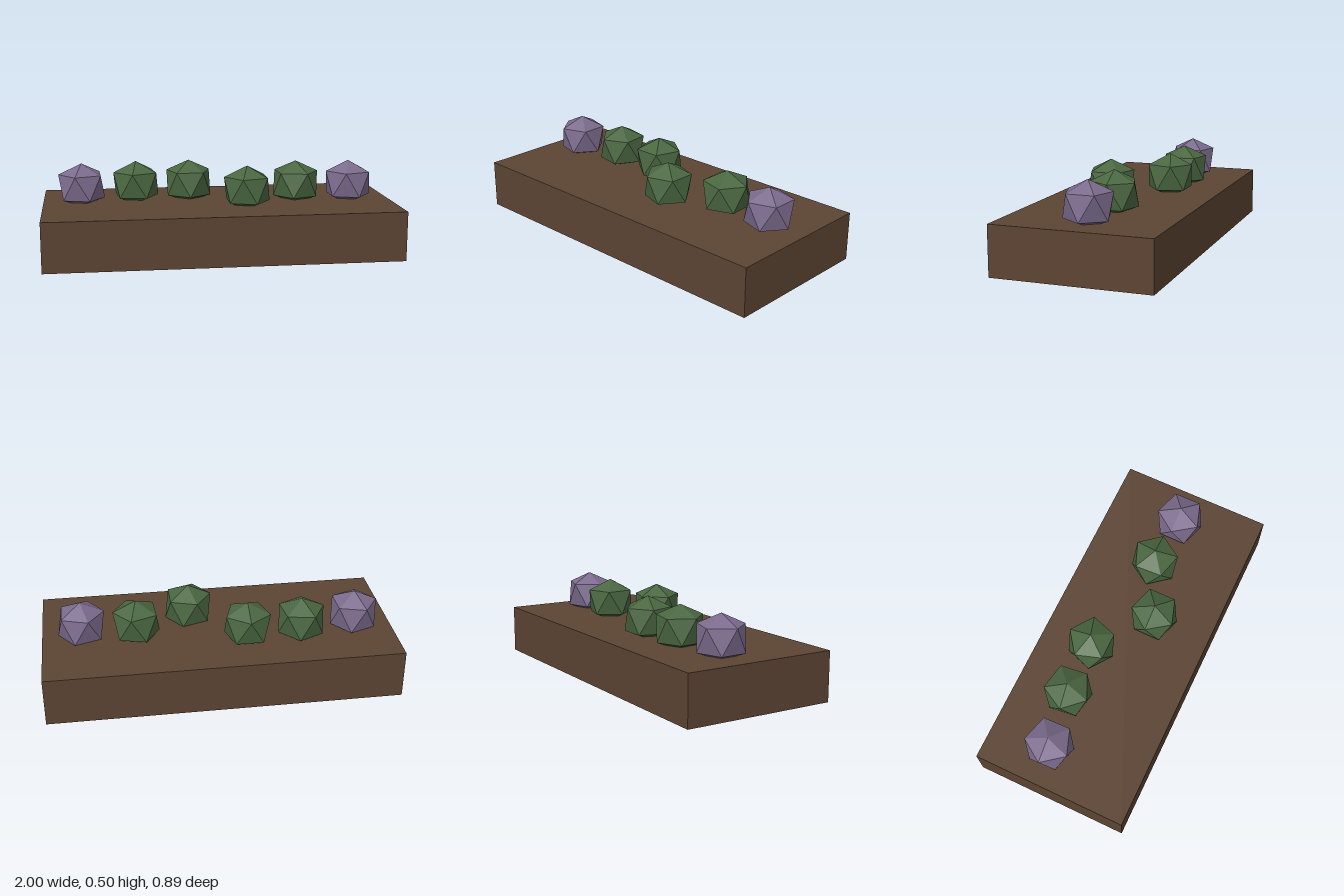
import * as THREE from 'three';

const material = (name, color, extra = {}) => {
  const m = new THREE.MeshStandardMaterial({ color, ...extra });
  m.name = name;
  return m;
};

// Five-sided faceted clump: top point, two staggered rings, bottom point
function clumpGeometry() {
  const radius = 0.132;
  const ring = (y, turn) => Array.from({ length: 5 }, (_, i) => {
    const a = (i + turn) * Math.PI * 2 / 5;
    return [radius * Math.cos(a), y, radius * Math.sin(a)];
  });
  const top = [0, 0.5, 0], bottom = [0, 0.252, 0];
  const upper = ring(0.438, 0), lower = ring(0.298, 0.5);
  const points = [];
  for (let i = 0; i < 5; i++) {
    const j = (i + 1) % 5;
    points.push(top, upper[j], upper[i]);
    points.push(upper[i], upper[j], lower[i]);
    points.push(upper[j], lower[j], lower[i]);
    points.push(bottom, lower[i], lower[j]);
  }
  const geometry = new THREE.BufferGeometry();
  geometry.setAttribute('position', new THREE.Float32BufferAttribute(points.flat(), 3));
  geometry.computeVertexNormals();
  return geometry;
}

export function createModel() {
  const model = new THREE.Group();
  const brown = material('brown', 0x5c4433, { side: THREE.DoubleSide });
  const green = material('green', 0x4a6741, { flatShading: true });
  const purple = material('purple', 0x7b6b8d, { flatShading: true });

  // Planter: thin box, open underneath
  const box = new THREE.BoxGeometry(2, 0.28, 0.89);
  const index = Array.from(box.index.array);
  index.splice(18, 6);
  box.setIndex(index);
  box.clearGroups();
  const planter = new THREE.Mesh(box, brown);
  planter.name = 'planter';
  planter.position.y = 0.14;
  model.add(planter);

  // Row of plants: name, colour, x, z, direction of one upper corner in degrees
  const clump = clumpGeometry();
  [
    ['flower', purple, -0.78, -0.095, 106],
    ['shrub', green, -0.465, -0.137, -115],
    ['shrub', green, -0.155, -0.145, -90],
    ['shrub', green, 0.155, 0.105, 180],
    ['shrub', green, 0.465, -0.035, -75],
    ['flower', purple, 0.775, -0.013, 180],
  ].forEach(([name, colour, x, z, angle], i) => {
    const plant = new THREE.Mesh(clump, colour);
    plant.name = `${name}${i + 1}`;
    plant.position.set(x, 0, z);
    plant.rotation.y = -THREE.MathUtils.degToRad(angle);
    model.add(plant);
  });
  return model;
}
